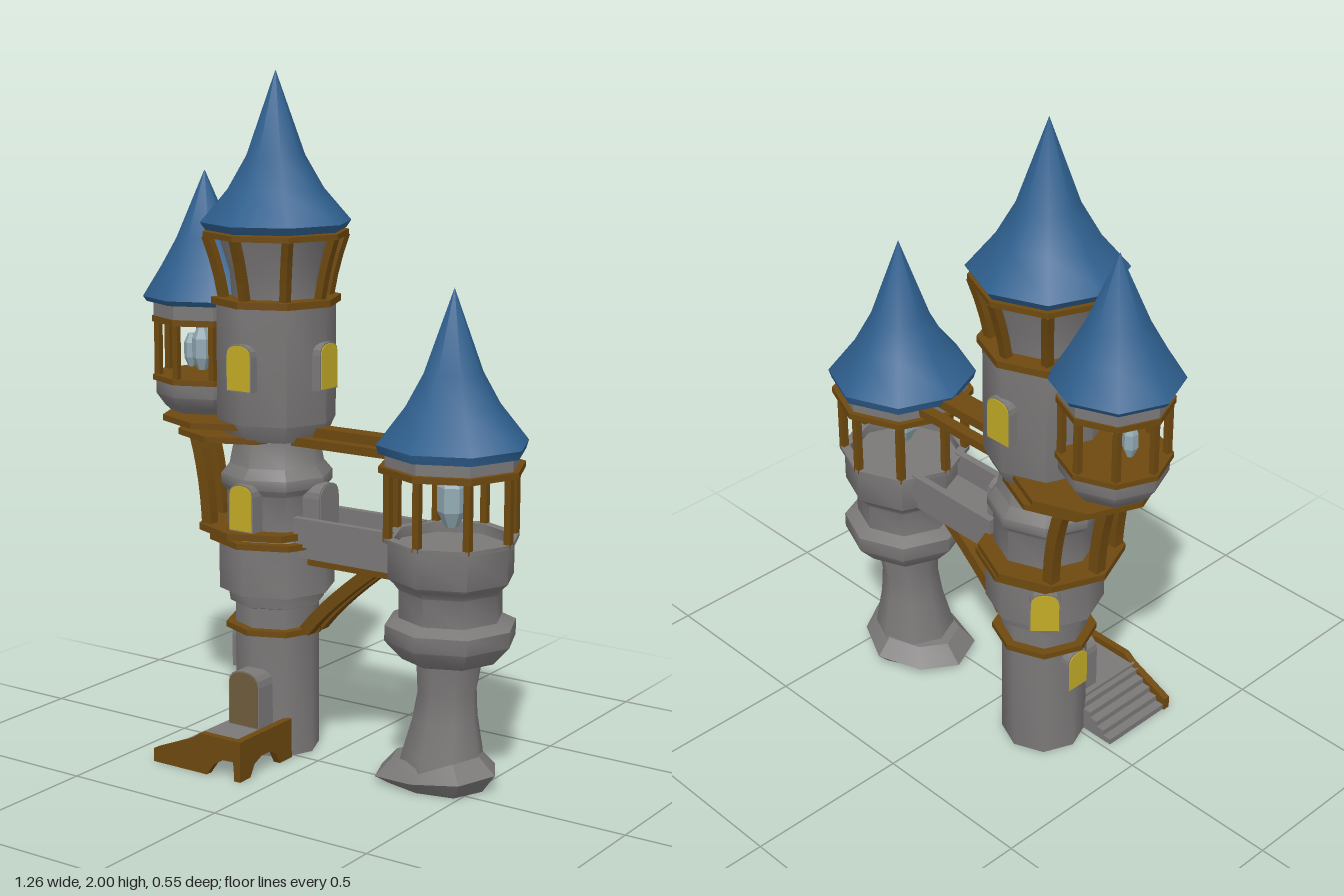
import * as THREE from 'three';
import { toCreasedNormals } from 'three/addons/utils/BufferGeometryUtils.js';

const paint = (name, color) => Object.assign(new THREE.MeshStandardMaterial({ color }), { name });
const V = (x, y, z) => new THREE.Vector3(x, y, z);
const Z0 = -0.058; // common axis of all towers

export function createModel() {
  const root = new THREE.Group();
  root.name = 'castle';
  const stone = paint('stone', 0x7b7878);
  const wood = paint('wood', 0x6e490f);
  const roofBlue = paint('roof blue', 0x2f608f);
  const glow = paint('window yellow', 0xc2ab26);
  const doorWood = paint('door brown', 0x6f5d3c);
  const crystal = paint('crystal', 0x93aab4);

  const add = (parent, name, geo, mat, x = 0, y = 0, z = 0) => {
    const m = new THREE.Mesh(geo, mat);
    m.name = name;
    m.position.set(x, y, z);
    parent.add(m);
    return m;
  };
  const group = (name, x = 0, y = 0, z = 0) => {
    const g = new THREE.Group();
    g.name = name;
    g.position.set(x, y, z);
    root.add(g);
    return g;
  };
  // Eight-sided turned solid from [radius, height] pairs, bottom to top
  const turned = (pts) => toCreasedNormals(
    new THREE.LatheGeometry(pts.map(([r, y]) => new THREE.Vector2(r, y)), 8), 0.82);
  const disc = (g, name, r, y0, y1, x = 0, mat = wood) =>
    add(g, name, toCreasedNormals(new THREE.CylinderGeometry(r, r, y1 - y0, 8), 0.1), mat, x, (y0 + y1) / 2, 0);
  const box = (g, name, mat, x0, x1, y0, y1, z0, z1) =>
    add(g, name, new THREE.BoxGeometry(x1 - x0, y1 - y0, z1 - z0), mat, (x0 + x1) / 2, (y0 + y1) / 2, (z0 + z1) / 2);
  // Square beam swept through two ends and a bend point
  const beam = (g, name, a, bend, b, s, steps = 6) => {
    const h = s / 2;
    const sq = new THREE.Shape([[-h, -h], [h, -h], [h, h], [-h, h]].map((p) => new THREE.Vector2(...p)));
    const path = new THREE.QuadraticBezierCurve3(a, bend, b);
    add(g, name, new THREE.ExtrudeGeometry(sq, { steps, extrudePath: path, bevelEnabled: false }), wood);
  };
  // Struts at the octagon corners, leaning from r0 to r1
  const struts = (g, name, r0, y0, r1, y1, s) => {
    for (let i = 0; i < 8; i++) {
      const a = i * Math.PI / 4, p = (r, y) => V(r * Math.sin(a), y, r * Math.cos(a));
      beam(g, name, p(r0, y0), p(r0 * 0.7 + r1 * 0.3, (y0 + y1) / 2), p(r1, y1), s, 3);
    }
  };
  const arch = (w, h) => {
    const s = new THREE.Shape();
    s.moveTo(-w / 2, 0);
    s.lineTo(w / 2, 0);
    s.lineTo(w / 2, h - w * 0.4);
    s.quadraticCurveTo(w / 2, h, 0, h);
    s.quadraticCurveTo(-w / 2, h, -w / 2, h - w * 0.4);
    return s;
  };
  // Arched opening: stone surround and a thin coloured pane, at a compass angle
  const opening = (g, name, angle, r, y, w, h, mat, depth = 0.05) => {
    const o = new THREE.Group();
    o.name = name;
    o.rotation.y = angle;
    o.position.y = y;
    g.add(o);
    const ex = (s, d) => new THREE.ExtrudeGeometry(s, { depth: d, bevelEnabled: false, curveSegments: 4 });
    add(o, name + 'Surround', ex(arch(w, h), depth), stone, 0, 0, r - depth);
    add(o, name + 'Pane', ex(arch(w - 0.008, h - 0.008), 0.004), mat, 0, 0.004, r - 0.001);
  };
  const gem = (g, x, y, z, r, h) => add(g, 'crystal', toCreasedNormals(new THREE.LatheGeometry(
    [[0, -0.5], [0.45, -0.5], [1, -0.22], [1, 0.22], [0.45, 0.5], [0, 0.5]]
      .map(([a, b]) => new THREE.Vector2(a * r, b * h)), 6), 0.1), crystal, x, y, z);

  // Main tower
  const main = group('mainTower', -0.187, 0, Z0);
  add(main, 'mainWalls', turned([[0, 0], [0.125, 0], [0.125, 0.45], [0.14, 0.455], [0.145, 0.49], [0.172, 0.495],
    [0.172, 0.66], [0.148, 0.67], [0.148, 0.79], [0.165, 0.81], [0.165, 0.84], [0.14, 0.87], [0.125, 0.945],
    [0.15, 0.95], [0.175, 1.0], [0.175, 1.345], [0.13, 1.355], [0.135, 1.43], [0.165, 1.53], [0, 1.53]]), stone);
  disc(main, 'lowerBand', 0.153, 0.373, 0.39);
  disc(main, 'middleBand', 0.2, 0.642, 0.66);
  disc(main, 'balconyBand', 0.21, 0.668, 0.688, -0.026);
  disc(main, 'upperBand', 0.19, 1.338, 1.358);
  disc(main, 'eavesBand', 0.213, 1.53, 1.546);
  struts(main, 'eavesStrut', 0.153, 1.355, 0.2, 1.535, 0.024);
  add(main, 'mainRoof', turned([[0, 1.55], [0.205, 1.55], [0.22, 1.572], [0.14, 1.665], [0.085, 1.76], [0, 2]]), roofBlue);
  [0, 1, 2].forEach((i) => opening(main, 'upperWindow', i * Math.PI / 2, 0.184, 1.1, 0.088, 0.138, glow));
  opening(main, 'middleWindow', 0, 0.178, 0.69, 0.085, 0.14, glow, 0.06);
  opening(main, 'bridgeDoor', Math.PI / 2, 0.185, 0.66, 0.1, 0.165, stone, 0.06);
  opening(main, 'rearWindow', -Math.PI * 0.75, 0.186, 0.5, 0.088, 0.13, glow);
  opening(main, 'lowWindow', -Math.PI / 2, 0.138, 0.23, 0.08, 0.13, glow);
  opening(main, 'frontDoor', 0, 0.17, 0.1, 0.11, 0.17, doorWood, 0.09);

  // Side turret on stepped floors and curved brackets
  const side = group('sideTurret', -0.444, 0, Z0);
  add(side, 'turretBowl', turned([[0, 0.99], [0.1, 0.99], [0.125, 1.015], [0.15, 1.05], [0.15, 1.095], [0, 1.095]]), stone);
  disc(side, 'turretFloorRing', 0.16, 1.09, 1.106);
  struts(side, 'turretPost', 0.142, 1.1, 0.142, 1.27, 0.018);
  disc(side, 'turretCeiling', 0.16, 1.264, 1.282);
  disc(side, 'turretCollar', 0.155, 1.282, 1.335, 0, stone);
  add(side, 'turretRoof', turned([[0, 1.325], [0.175, 1.325], [0.186, 1.34], [0.13, 1.43], [0.085, 1.51], [0, 1.708]]), roofBlue);
  gem(side, 0.008, 1.185, 0.03, 0.03, 0.13);
  gem(side, -0.056, 1.17, 0, 0.022, 0.1);
  disc(side, 'turretUpperFloor', 0.21, 0.98, 0.998, 0.1);
  disc(side, 'turretLowerFloor', 0.2, 0.943, 0.961, 0.144);
  const brackets = group('turretBrackets', -0.21, 0, Z0);
  for (const a of [-0.5, -0.25, -0.75]) {
    const c = Math.sin(a * Math.PI), s = Math.cos(a * Math.PI);
    beam(brackets, 'turretBracket', V(0.18 * c, 0.67, 0.18 * s), V(0.185 * c, 0.83, 0.185 * s),
      V(0.18 * c - 0.045, 0.95, 0.18 * s), 0.034);
  }

  // Lookout tower
  const look = group('lookoutTower', 0.412, 0, Z0);
  const shaft = turned([[0.125, 0.06], [0.118, 0.1], [0.095, 0.2], [0.086, 0.28], [0.098, 0.385]]);
  const sp = shaft.attributes.position;
  for (let i = 0; i < sp.count; i++) sp.setX(i, sp.getX(i) - 0.03 * (1 - sp.getY(i) / 0.385));
  add(look, 'lookoutShaft', shaft, stone);
  // Rough rock foot, tilted up towards one side
  const foot = new THREE.LatheGeometry([[0, 0], [0.13, 0], [0.165, 0.035], [0.12, 0.085], [0, 0.1]]
    .map((p) => new THREE.Vector2(...p)), 8);
  const fp = foot.attributes.position;
  for (let i = 0; i < fp.count; i++) {
    const x = fp.getX(i), y = fp.getY(i), z = fp.getZ(i);
    const k = 1 + 0.06 * Math.sin(3 * Math.atan2(z, x));
    fp.setXYZ(i, x * 1.14 * k, y > 0 ? y + x * 0.12 : 0, z * 0.95 * k);
  }
  add(look, 'lookoutFoot', toCreasedNormals(foot, 0.6), stone, -0.037);
  add(look, 'lookoutWalls', turned([[0, 0.38], [0.14, 0.38], [0.19, 0.435], [0.19, 0.48], [0.15, 0.5], [0.15, 0.58],
    [0.165, 0.6], [0.182, 0.615], [0.182, 0.715], [0.195, 0.718], [0.195, 0.73], [0.165, 0.73], [0.165, 0.7], [0, 0.7]]), stone);
  struts(look, 'lookoutPost', 0.182, 0.72, 0.182, 0.925, 0.02);
  disc(look, 'lookoutCeiling', 0.21, 0.917, 0.935);
  disc(look, 'lookoutCollar', 0.193, 0.935, 0.98, 0, stone);
  add(look, 'lookoutRoof', turned([[0, 0.97], [0.21, 0.97], [0.218, 0.995], [0.135, 1.1], [0.085, 1.19], [0, 1.425]]), roofBlue);
  gem(look, 0, 0.835, 0, 0.042, 0.16);

  // Bridge with parapets, overhead beams and curved braces
  const bridge = group('bridge', 0, 0, Z0);
  box(bridge, 'bridgeDeck', stone, -0.06, 0.27, 0.615, 0.66, -0.085, 0.085);
  for (const s of [-1, 1]) {
    box(bridge, 'bridgeParapet', stone, -0.06, 0.27, 0.65, 0.735, s * 0.087 - 0.011, s * 0.087 + 0.011);
    box(bridge, 'sideOverheadBeam', wood, -0.08, 0.3, 0.94, 0.965, s * 0.062 - 0.017, s * 0.062 + 0.017);
    box(bridge, 'bridgeJoist', wood, -0.05, 0.27, 0.588, 0.615, s * 0.04 - 0.016, s * 0.04 + 0.016);
    beam(bridge, 'bridgeBrace', V(-0.055, 0.385, s * 0.035), V(0.02, 0.48, s * 0.035), V(0.18, 0.602, s * 0.035), 0.036);
  }
  box(bridge, 'middleOverheadBeam', wood, -0.08, 0.3, 0.96, 0.988, -0.027, 0.027);

  // Entrance stairs
  const stairs = group('entranceStairs');
  box(stairs, 'landing', stone, -0.26, -0.1, 0.05, 0.1, 0.0, 0.265);
  for (let i = 0; i < 5; i++) {
    const x = -0.39 + i * 0.028;
    box(stairs, 'step', stone, x, -0.25, i * 0.018, 0.018 + i * 0.018, 0.02, 0.262);
  }
  // Wooden side walls, each with a low arch
  const wall = (pts) => {
    const s = new THREE.Shape();
    pts.forEach(([x, y], i) => (i ? s.lineTo(x, y) : s.moveTo(x, y)));
    return new THREE.ExtrudeGeometry(s, { depth: 0.022, bevelEnabled: false });
  };
  add(stairs, 'frontStairWall', wall([[-0.395, 0], [-0.2, 0], [-0.175, 0.035], [-0.145, 0.055], [-0.105, 0.058],
    [-0.1, 0], [-0.08, 0], [-0.08, 0.12], [-0.225, 0.12], [-0.255, 0.098], [-0.395, 0.04]]), wood, 0, 0, 0.254);
  const end = add(stairs, 'endStairWall', wall([[-0.275, 0], [-0.225, 0], [-0.205, 0.035], [-0.17, 0.05], [-0.13, 0.05],
    [-0.1, 0.035], [-0.08, 0], [-0.02, 0], [-0.02, 0.12], [-0.275, 0.12]]), wood, -0.103, 0, 0);
  end.rotation.y = Math.PI / 2;

  return root;
}
